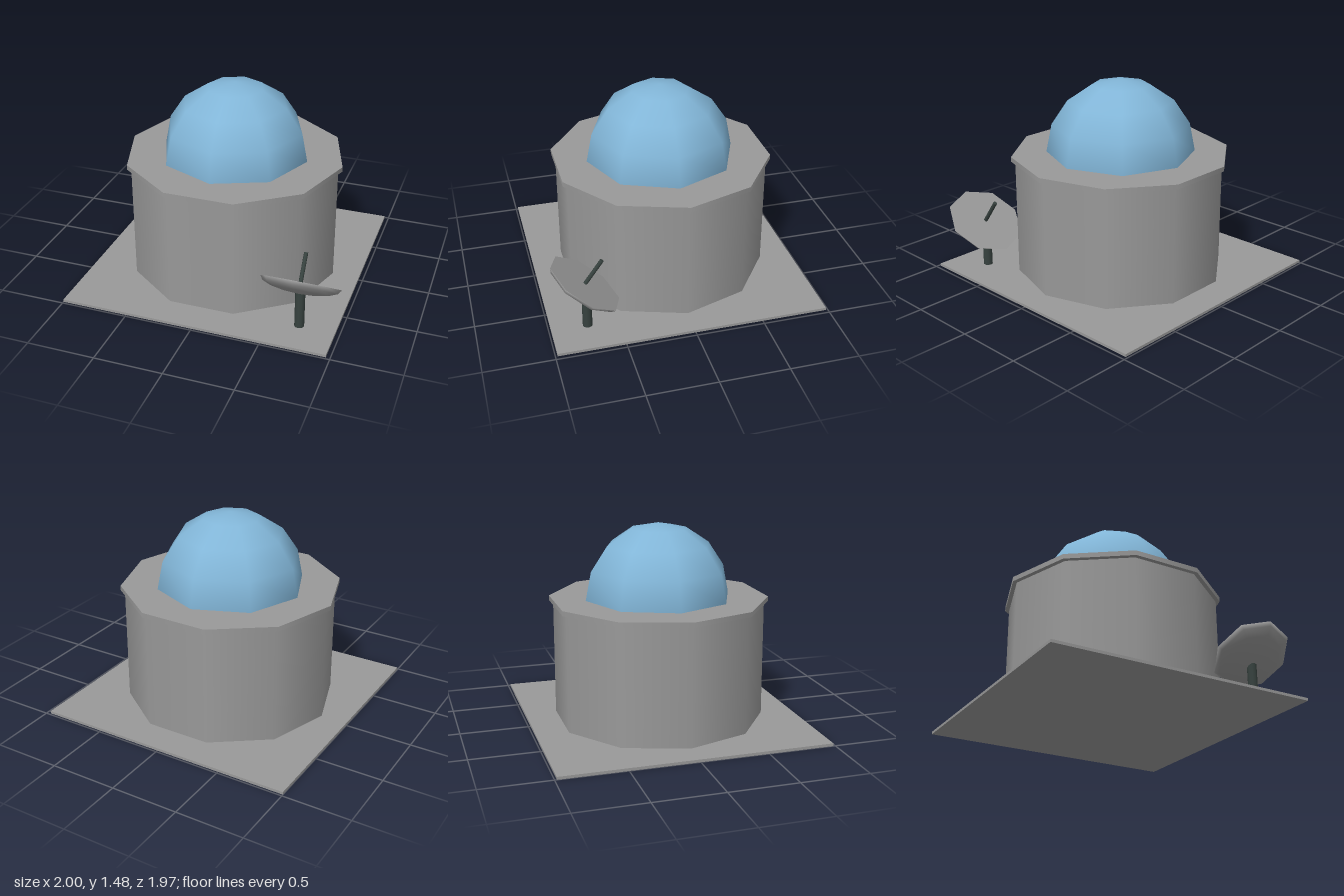
import * as THREE from 'three';

export function createModel() {
  const model = new THREE.Group();
  model.name = 'observatory';
  const material = (name, color) => {
    const m = new THREE.MeshStandardMaterial({ color });
    m.name = name;
    return m;
  };
  const grey = material('concrete grey', 0x999999);
  const blue = material('dome blue', 0x82b6d8);
  const dark = material('dark metal', 0x37423f);

  const add = (name, geometry, mat, x, y, z, parent = model) => {
    const mesh = new THREE.Mesh(geometry, mat);
    mesh.name = name;
    mesh.position.set(x, y, z);
    parent.add(mesh);
    return mesh;
  };
  // Ten-sided drum with corners on the x axis
  const drum = (radius, height) =>
    new THREE.CylinderGeometry(radius, radius, height, 10).rotateY(Math.PI / 2);

  // Building
  const cx = -0.015;
  add('groundPlate', new THREE.BoxGeometry(1.97, 0.02, 1.97), grey, cx, 0.01, 0);
  add('drumWall', drum(0.785, 0.87), grey, cx, 0.455, 0);
  add('roofSlab', drum(0.815, 0.036), grey, cx, 0.911, 0);
  add('dome', new THREE.SphereGeometry(0.552, 8, 4, 0, Math.PI * 2, 0, Math.PI / 2),
    blue, cx, 0.929, 0);

  // Dish antenna, leaning back towards the building
  add('dishPost', new THREE.CylinderGeometry(0.035, 0.035, 0.31, 10), dark, 0.71, 0.175, 0.724);
  const dish = new THREE.Group();
  dish.name = 'dish';
  dish.position.set(0.71, 0.38, 0.727);
  dish.rotation.x = -0.62;
  model.add(dish);
  const bowl = new THREE.SphereGeometry(0.29, 8, 4, 0, Math.PI * 2, Math.PI / 2, Math.PI / 2);
  add('dishBowl', bowl.scale(1, 0.27, 1), grey, 0, 0, 0, dish);
  add('dishFace', new THREE.CircleGeometry(0.29, 8).rotateX(-Math.PI / 2), grey, 0, 0, 0, dish);
  add('dishReceiver', new THREE.CylinderGeometry(0.015, 0.015, 0.22, 8), dark, 0, 0.1, 0, dish);

  return model;
}
